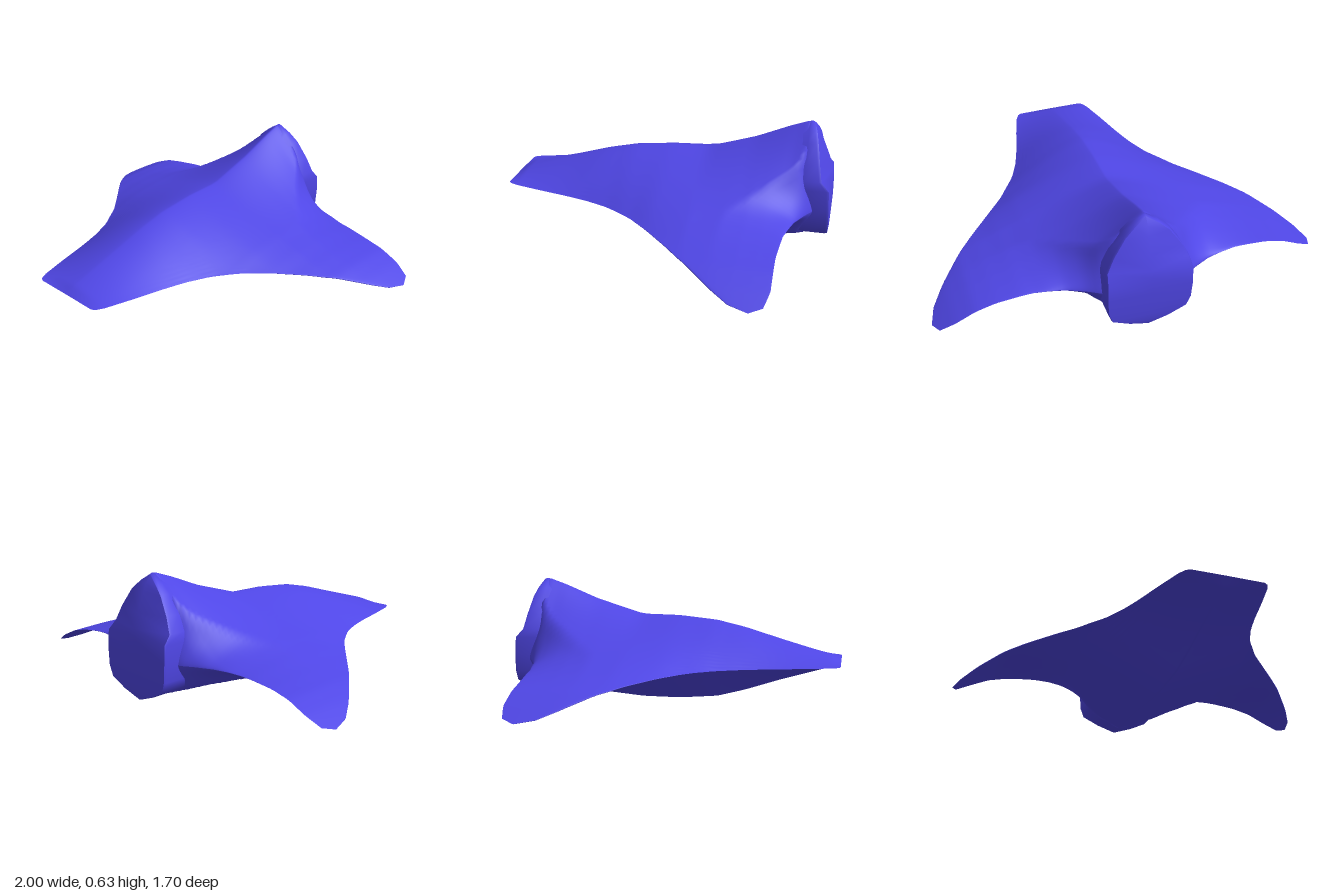
import * as THREE from 'three';

// linear lookup in a list of [key, value] pairs with rising keys
function look(table, k) {
  if (k <= table[0][0]) return table[0][1];
  for (let i = 1; i < table.length; i++) {
    const [k0, v0] = table[i - 1], [k1, v1] = table[i];
    if (k <= k1) return v0 + (v1 - v0) * (k - k0) / (k1 - k0);
  }
  return table[table.length - 1][1];
}

// leading edge: half width against z, and the same curve read the other way
const halfWidth = [[-0.56, 1], [-0.47, 0.975], [-0.37, 0.91], [-0.2, 0.77], [0, 0.58], [0.1, 0.49],
  [0.25, 0.39], [0.38, 0.335], [0.5, 0.3], [0.65, 0.262], [0.8, 0.22], [0.85, 0.195]];
const leading = halfWidth.map(([z, x]) => [x, z]).reverse();
const trailing = [[0, -0.78], [0.21, -0.77], [0.28, -0.73], [0.37, -0.69], [0.52, -0.655], [0.7, -0.643],
  [0.9, -0.647], [0.975, -0.625], [1, -0.565]];
// height of the rim along the span
const rim = [[0, 0.232], [0.45, 0.23], [0.58, 0.22], [0.7, 0.203], [0.8, 0.18], [0.9, 0.135], [1, 0.078]];
// centre line heights of back and belly
const ridge = [[-0.76, 0.61], [-0.72, 0.635], [-0.62, 0.6], [-0.45, 0.53], [-0.2, 0.453], [0, 0.45],
  [0.2, 0.43], [0.35, 0.395], [0.53, 0.34], [0.8, 0.26], [0.85, 0.232]];
const keel = [[-0.45, 0.025], [-0.2, 0.003], [0, 0.003], [0.2, 0.02], [0.35, 0.06], [0.53, 0.12],
  [0.8, 0.2], [0.85, 0.232]];
// cross-section fall-off from the centre line to the rim
const topPower = [[-0.65, 3.5], [-0.45, 2.6], [-0.2, 1.5], [0, 1.15], [0.4, 1]];
const topRound = [[0, 1.2], [0.4, 1.5]];
const bottomPower = [[-0.6, 1.8], [-0.2, 1.2], [0.4, 1]];

function height(x, z, top) {
  const t = Math.min(1, x / look(halfWidth, z));
  const fall = top
    ? Math.pow(1 - Math.pow(t, look(topRound, z)), look(topPower, z))
    : Math.pow(1 - t, look(bottomPower, z));
  // thin out toward the trailing edge
  const reach = look([[0, 0.03], [0.15, 0.06], [0.45, 0.3]], x);
  const thin = Math.pow(Math.max(0, Math.min(1, (z - look(trailing, x)) / reach)), 0.7);
  // keep some thickness in the outer wing
  const tip = look([[0.45, 0], [0.85, 0.012]], x) * Math.pow(1 - t, 0.25);
  const rise = (look(top ? ridge : keel, z) - 0.232) * fall + (top ? tip : -tip);
  return look(rim, x) + rise * thin;
}

function build(positions, index) {
  const g = new THREE.BufferGeometry();
  g.setAttribute('position', new THREE.Float32BufferAttribute(positions, 3));
  g.setIndex(index);
  g.computeVertexNormals();
  return g;
}

// one skin of the body, swept across the span
function skin(top) {
  const nx = 96, nz = 60, pos = [], idx = [];
  for (let i = 0; i <= nx; i++) {
    const s = (2 * i) / nx - 1;
    const x = s * Math.pow(Math.abs(s), 0.3), ax = Math.abs(x);
    const z0 = look(leading, ax), z1 = look(trailing, ax);
    for (let j = 0; j <= nz; j++) {
      const z = z0 + (z1 - z0) * (1 - Math.cos(Math.PI * j / nz)) / 2;
      pos.push(x, height(ax, z, top), z);
    }
  }
  for (let i = 0; i < nx; i++) for (let j = 0; j < nz; j++) {
    const a = i * (nz + 1) + j, b = a + nz + 1, c = a + 1, d = b + 1;
    if (top) idx.push(a, b, c, b, d, c);
    else idx.push(a, c, b, b, c, d);
  }
  return build(pos, idx);
}

// half outline of the tail block, top to bottom
const tail = [[0, 0.635], [0.06, 0.595], [0.11, 0.55], [0.17, 0.46], [0.205, 0.385], [0.214, 0.34],
  [0.216, 0.25], [0.21, 0.16], [0.19, 0.105], [0.1, 0.062], [0, 0.025]];
const backScale = 0.985;
// depth of the back face along its middle and along its outer edge
const middleDepth = [[0.025, -0.832], [0.06, -0.845], [0.2, -0.853], [0.38, -0.848], [0.45, -0.83],
  [0.61, -0.765], [0.635, -0.745]];
const edgeDepth = [[0.025, -0.832], [0.06, -0.842], [0.2, -0.85], [0.34, -0.842], [0.385, -0.803],
  [0.58, -0.768], [0.635, -0.745]];
const scaled = (y, s) => 0.25 + (y - 0.25) * s;

function tailSides() {
  const ring = [...tail, ...tail.slice(1, -1).reverse().map(([x, y]) => [-x, y])];
  const n = ring.length, pos = [], idx = [];
  const rows = [[0.86, () => -0.6], [0.995, () => -0.72], [1, y => look(edgeDepth, y) + 0.012],
    [backScale, y => look(edgeDepth, y)]];
  for (const [s, depth] of rows)
    for (const [x, y] of ring) pos.push(x * s, scaled(y, s), depth(y));
  for (let r = 0; r < rows.length - 1; r++) for (let k = 0; k < n; k++) {
    const a = r * n + k, b = r * n + (k + 1) % n, c = a + n, d = b + n;
    idx.push(a, b, c, b, d, c);
  }
  return build(pos, idx);
}

// back face, bulging along its middle
function tailFace() {
  const pos = [], idx = [];
  for (const [x, y] of tail)
    for (const s of [-1, 0, 1])
      pos.push(x * s * backScale, scaled(y, backScale), look(s ? edgeDepth : middleDepth, y));
  for (let k = 0; k < tail.length - 1; k++) for (let i = 0; i < 2; i++) {
    const a = 3 * k + i, b = a + 1, c = a + 3, d = a + 4;
    idx.push(a, b, c, b, d, c);
  }
  return build(pos, idx);
}

export function createModel() {
  const group = new THREE.Group();
  group.name = 'wingedHull';
  const material = new THREE.MeshStandardMaterial({ color: 0x4f46e5 });
  const add = (name, geometry) => {
    const mesh = new THREE.Mesh(geometry, material);
    mesh.name = name;
    group.add(mesh);
  };
  add('upperHull', skin(true));
  add('lowerHull', skin(false));
  add('tailBlock', tailSides());
  add('tailFace', tailFace());
  return group;
}
